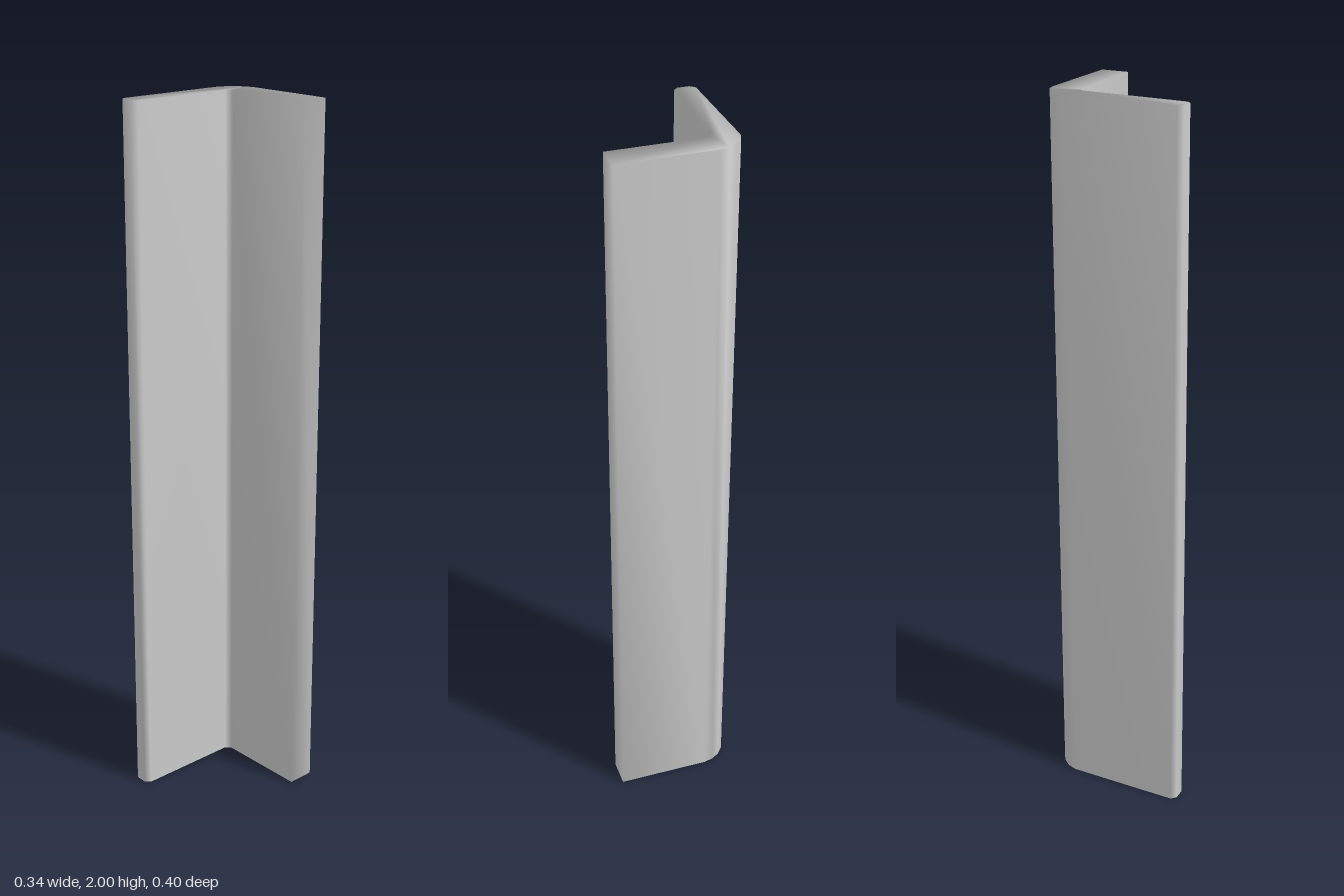
import * as THREE from 'three';
import { mergeVertices } from 'three/addons/utils/BufferGeometryUtils.js';

const HEIGHT = 2;

export function createModel() {
  const group = new THREE.Group();
  group.name = 'angleProfile';

  // L-shaped cross-section, as [x, z]
  const outline = [
    [0.17, -0.2], [-0.092, -0.2],                          // back flange, outer face
    [-0.119, -0.194], [-0.143, -0.179], [-0.161, -0.157],  // rounded outer corner
    [-0.17, -0.13], [-0.171, 0.187],                       // side flange, outer face
    [-0.158, 0.2], [-0.125, 0.2], [-0.112, 0.187],         // chamfered front tip
    [-0.107, -0.107], [-0.092, -0.12],                     // inner corner
    [0.17, -0.123],                                        // back flange, inner face
  ];
  const shape = new THREE.Shape(outline.map(([x, z]) => new THREE.Vector2(x, -z)));

  // Stand the extrusion upright and weld it so the shading runs smoothly over every edge
  let geometry = new THREE.ExtrudeGeometry(shape, { depth: HEIGHT, bevelEnabled: false });
  geometry.rotateX(-Math.PI / 2);
  geometry.deleteAttribute('normal');
  geometry.deleteAttribute('uv');
  geometry = mergeVertices(geometry);
  geometry.computeVertexNormals();

  const bar = new THREE.Mesh(geometry, new THREE.MeshStandardMaterial({ color: 0xcccccc }));
  bar.name = 'angleBar';
  group.add(bar);
  return group;
}
